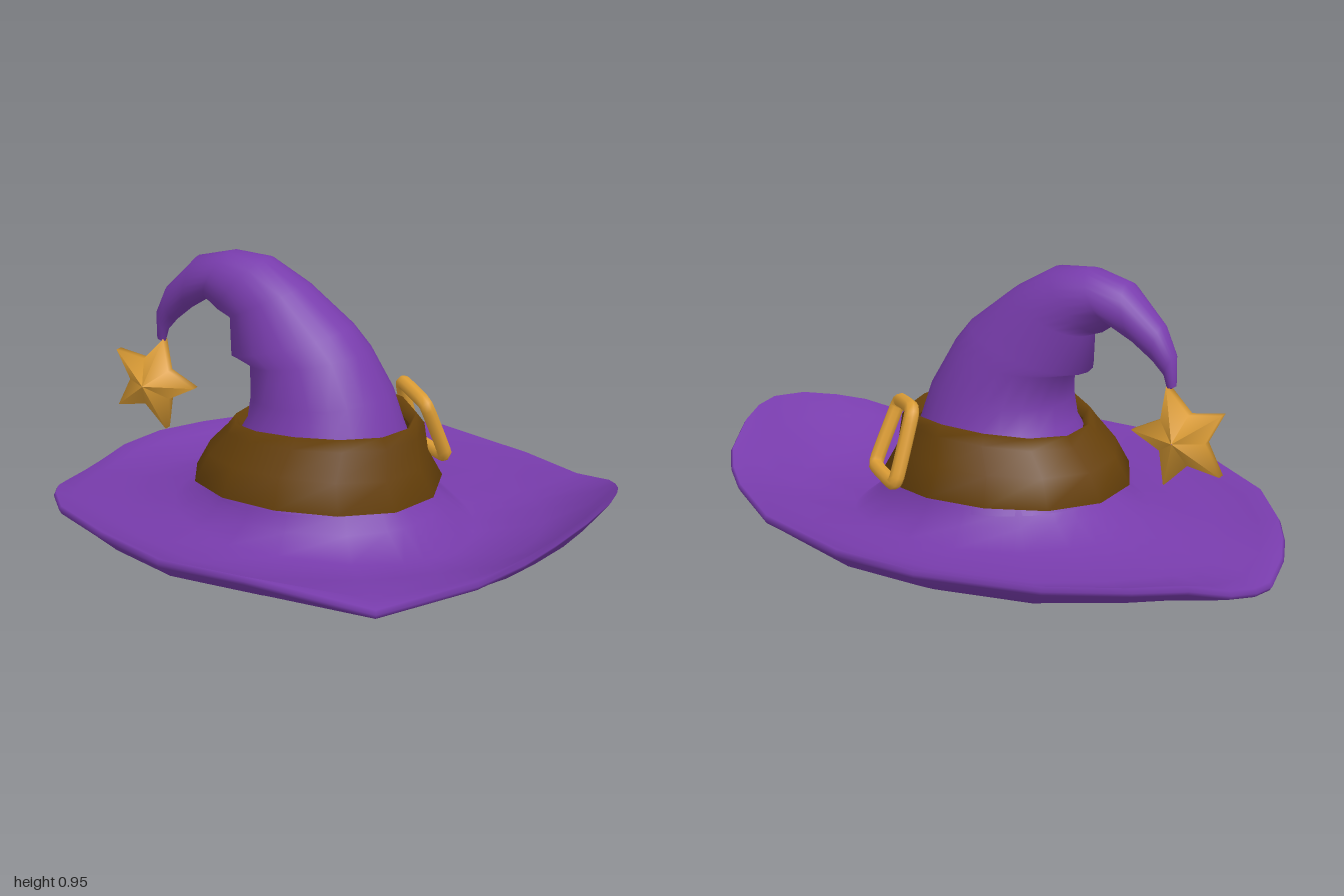
import * as THREE from 'three';

const V = (x, y, z) => new THREE.Vector3(x, y, z);

// Skin a list of closed rings, each running counter-clockwise around the stacking direction
function loft(rings) {
  const n = rings[0].length, pos = [], idx = [];
  rings.forEach(r => r.forEach(p => pos.push(p.x, p.y, p.z)));
  for (let i = 0; i < rings.length - 1; i++) {
    for (let j = 0; j < n; j++) {
      const k = (j + 1) % n, a = i * n + j, b = i * n + k;
      idx.push(a, b, b + n, a, b + n, a + n);
    }
  }
  const g = new THREE.BufferGeometry();
  g.setAttribute('position', new THREE.Float32BufferAttribute(pos, 3));
  g.setIndex(idx);
  g.computeVertexNormals();
  return g;
}

const ring = (n, fn) => Array.from({ length: n }, (_, i) => {
  const a = i / n * Math.PI * 2;
  return fn(Math.cos(a), Math.sin(a), i);
});

// Brim: padded sheet between the crown base and an uneven rim, thicker in the middle
function brimGeometry() {
  const rim = [ // x, y, z
    [1, .312, 0], [.99, .307, -.1], [.965, .285, -.2], [.9, .235, -.35], [.83, .205, -.43],
    [.74, .18, -.5], [.5, .168, -.65], [.12, .177, -.77], [-.17, .177, -.77], [-.54, .165, -.65],
    [-.75, .145, -.48], [-.87, .13, -.35], [-.96, .095, -.24], [-.99, .065, -.12], [-1, .055, -.03],
    [-.97, .075, .13], [-.93, .1, .23], [-.87, .12, .33], [-.74, .145, .48], [-.47, .165, .64],
    [-.18, .175, .76], [.12, .178, .76], [.5, .1, .645], [.75, .17, .465], [.86, .225, .37],
    [.92, .26, .27], [.975, .295, .14]];
  const thick = .028;
  // lift: 0 = underside, 1 = top; pad is the extra thickness on the top
  const sheet = ([t, pad], lift) => rim.map(([x, y, z]) => {
    const len = Math.hypot(x, z), c = x / len, r = .365 + (len - .365) * t;
    const edge = y - thick;
    const outer = .05 + (c > 0 ? .025 : -.045) * c * c;
    const low = .03 - (c > 0 ? .025 * c * c : 0);
    const h = { 0: .19, 0.07: .11, 0.25: low, 0.62: outer,
      0.87: outer + (edge - outer) * .55, 0.985: edge, 1: edge }[t];
    const extra = pad * (c > 0 ? 1 - .5 * c * c : 1);
    return V(x / len * r, h + lift * (thick + extra), z / len * r);
  });
  const steps = [[0, 0], [.07, .03], [.25, .06], [.62, .04], [.87, .02], [.985, 0]];
  return loft([...steps.map(s => sheet(s, 0)), sheet([1, 0], .5),
    ...steps.reverse().map(s => sheet(s, 1))]);
}

// Crown: sections given by inner point, outer point and half depth
function crownGeometry() {
  const sections = [
    [-.385, .2, .36, .2, .368], [-.345, .26, .33, .26, .335], [-.25, .42, .275, .42, .255],
    [-.24, .5, .24, .53, .228], [-.245, .6, .16, .67, .194], [-.32, .615, .1, .745, .18],
    [-.325, .74, -.06, .87, .14], [-.37, .755, -.2, .95, .122], [-.42, .79, -.33, .96, .1],
    [-.5, .74, -.46, .93, .08], [-.56, .69, -.585, .81, .05], [-.595, .65, -.63, .72, .03],
    [-.605, .61, -.635, .62, .015], [-.62, .61, -.62, .61, .001]];
  return loft(sections.map(([lx, ly, rx, ry, w]) => ring(24, (c, s) =>
    V((lx + rx) / 2 + (rx - lx) / 2 * c, (ly + ry) / 2 + (ry - ly) / 2 * c, -w * s))));
}

// Band: tapered faceted strap, sagging a little at both sides
function bandGeometry() {
  const profile = [[.385, .25], [.425, .245], [.375, .335], [.335, .42], [.308, .455], [.285, .415]];
  return loft(profile.map(([r, y]) => ring(13, (c, s) =>
    V((y > .4 ? .01 : -.018) + r * c, y - .03 * c * c + .012 * c * (y > .4 ? 1 : -.4), -r * .96 * s))));
}

// Star: five blunt points with a raised centre on both faces
function starGeometry() {
  const layer = (scale, z) => ring(10, (c, s, i) => {
    const r = scale * (i % 2 ? .087 : .172);
    return V(r * c, r * s, z);
  });
  return loft([layer(.01, -.072), layer(1, -.014), layer(1, .014), layer(.01, .072)]);
}

// Buckle: rounded four-sided frame lying against the band
function buckleGeometry() {
  const corners = [V(.155, .49, -.3), V(.3, .465, -.172), V(.34, .255, -.265), V(.168, .255, -.388)];
  const pts = [];
  corners.forEach((p, i) => {
    pts.push(p.clone().lerp(corners[(i + 3) % 4], .12), p.clone().lerp(corners[(i + 1) % 4], .12));
  });
  const path = new THREE.CatmullRomCurve3(pts, true, 'catmullrom', .3);
  return new THREE.TubeGeometry(path, 48, .025, 8, true);
}

export function createModel() {
  const mat = (name, color, side = THREE.FrontSide) => {
    const m = new THREE.MeshStandardMaterial({ color, side });
    m.name = name;
    return m;
  };
  const purple = mat('purple felt', 0x783cac, THREE.DoubleSide);
  const brown = mat('brown leather', 0x66400a, THREE.DoubleSide);
  const gold = mat('gold', 0xdf9f36);

  const hat = new THREE.Group();
  hat.name = 'pointedHat';
  const add = (name, geometry, material) => {
    const m = new THREE.Mesh(geometry, material);
    m.name = name;
    hat.add(m);
    return m;
  };
  add('brim', brimGeometry(), purple);
  add('crown', crownGeometry(), purple);
  add('band', bandGeometry(), brown);
  add('buckle', buckleGeometry(), gold);
  add('star', starGeometry(), gold).position.set(-.66, .455, 0);
  return hat;
}
